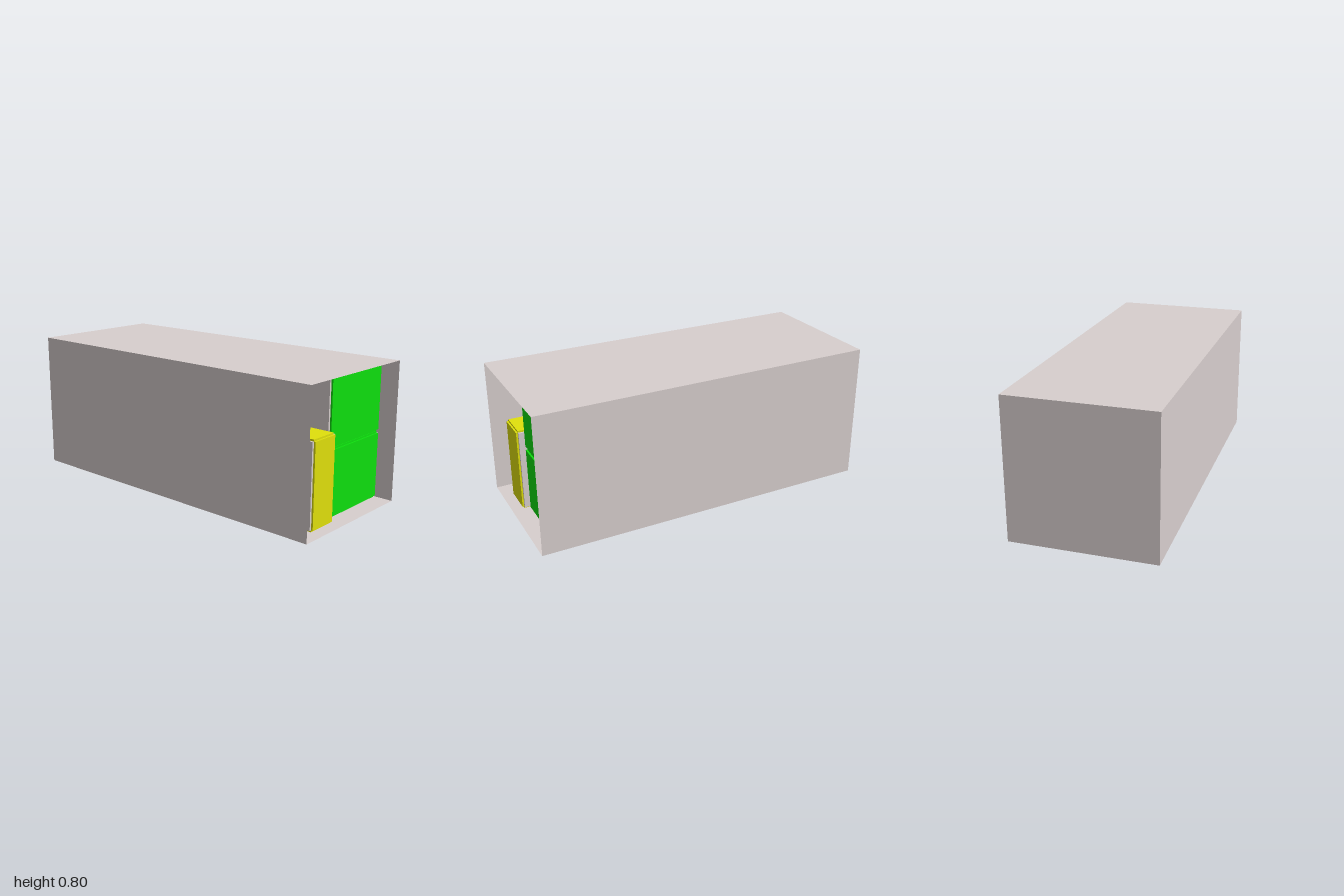
import * as THREE from 'three';

const RED = 0xe00c0c, GREEN = 0x0ee00e, BLUE = 0x0c0ce0, YELLOW = 0xe0e00c, GREY = 0xd8cfce;

function material(color) {
  return new THREE.MeshStandardMaterial({ color, side: THREE.DoubleSide });
}

// Box given by its limits on each axis
function block(name, mat, [x0, x1], [y0, y1], [z0, z1]) {
  const mesh = new THREE.Mesh(new THREE.BoxGeometry(x1 - x0, y1 - y0, z1 - z0), mat);
  mesh.position.set((x0 + x1) / 2, (y0 + y1) / 2, (z0 + z1) / 2);
  mesh.name = name;
  return mesh;
}

// Carton of three crossing slabs, each reaching out along one axis
function carton(name, color, x, y, z, sideColor = GREY) {
  const inset = ([a, b], d) => [a + d, b - d];
  const xi = inset(x, 0.012), yi = inset(y, 0.01), zi = inset(z, 0.01);
  const mat = material(color);
  const group = new THREE.Group();
  group.name = name;
  group.add(
    block('cartonSides', material(sideColor), x, yi, zi),
    block('cartonTopAndBottom', mat, xi, y, zi),
    block('cartonFrontAndBack', mat, xi, yi, z)
  );
  return group;
}

// Thin-walled container, open at the front
function container() {
  const group = new THREE.Group();
  group.name = 'container';
  const W = 0.81, H = 0.8, L = 2, mat = material(GREY);
  const wall = (name, w, h, pos, rx, ry) => {
    const mesh = new THREE.Mesh(new THREE.PlaneGeometry(w, h), mat);
    mesh.position.set(...pos);
    mesh.rotation.set(rx, ry, 0);
    mesh.name = name;
    group.add(mesh);
  };
  wall('floor', W, L, [0, 0, 0], Math.PI / 2, 0);
  wall('roof', W, L, [0, H, 0], -Math.PI / 2, 0);
  wall('backWall', W, H, [0, H / 2, -L / 2], 0, Math.PI);
  wall('leftWall', L, H, [W / 2, H / 2, 0], 0, Math.PI / 2);
  wall('rightWall', L, H, [-W / 2, H / 2, 0], 0, -Math.PI / 2);
  return group;
}

export function createModel() {
  const model = new THREE.Group();
  model.name = 'loadedContainer';
  model.add(container());

  // Two large cartons stacked by the left wall
  for (const y of [0.002, 0.392]) {
    model.add(carton('greenCarton', GREEN, [-0.087, 0.402], [y, y + 0.388], [0.4, 0.9]));
  }

  // Tall carton nearest the opening
  model.add(carton('yellowCarton', YELLOW, [-0.282, -0.086], [0.002, 0.492], [0.765, 0.94]));

  // Blue stack: two high in front, three high behind
  for (const [z0, z1, layers] of [[0.48, 0.755, 2], [0.2, 0.475, 3]]) {
    for (let i = 0; i < layers; i++) {
      const y = 0.002 + i * 0.255;
      model.add(carton('blueCarton', BLUE, [-0.345, -0.086], [y, y + 0.253], [z0, z1]));
    }
  }

  // Red cartons filling the rear
  for (let i = 0; i < 2; i++) {
    const z = [-0.4 - i * 0.58, 0.17 - i * 0.58];
    model.add(carton('redCarton', RED, [-0.39, -0.1], [0.002, 0.492], z, RED));
    model.add(carton('redCarton', RED, [-0.09, 0.402], [0.002, 0.492], z, RED));
  }
  return model;
}
